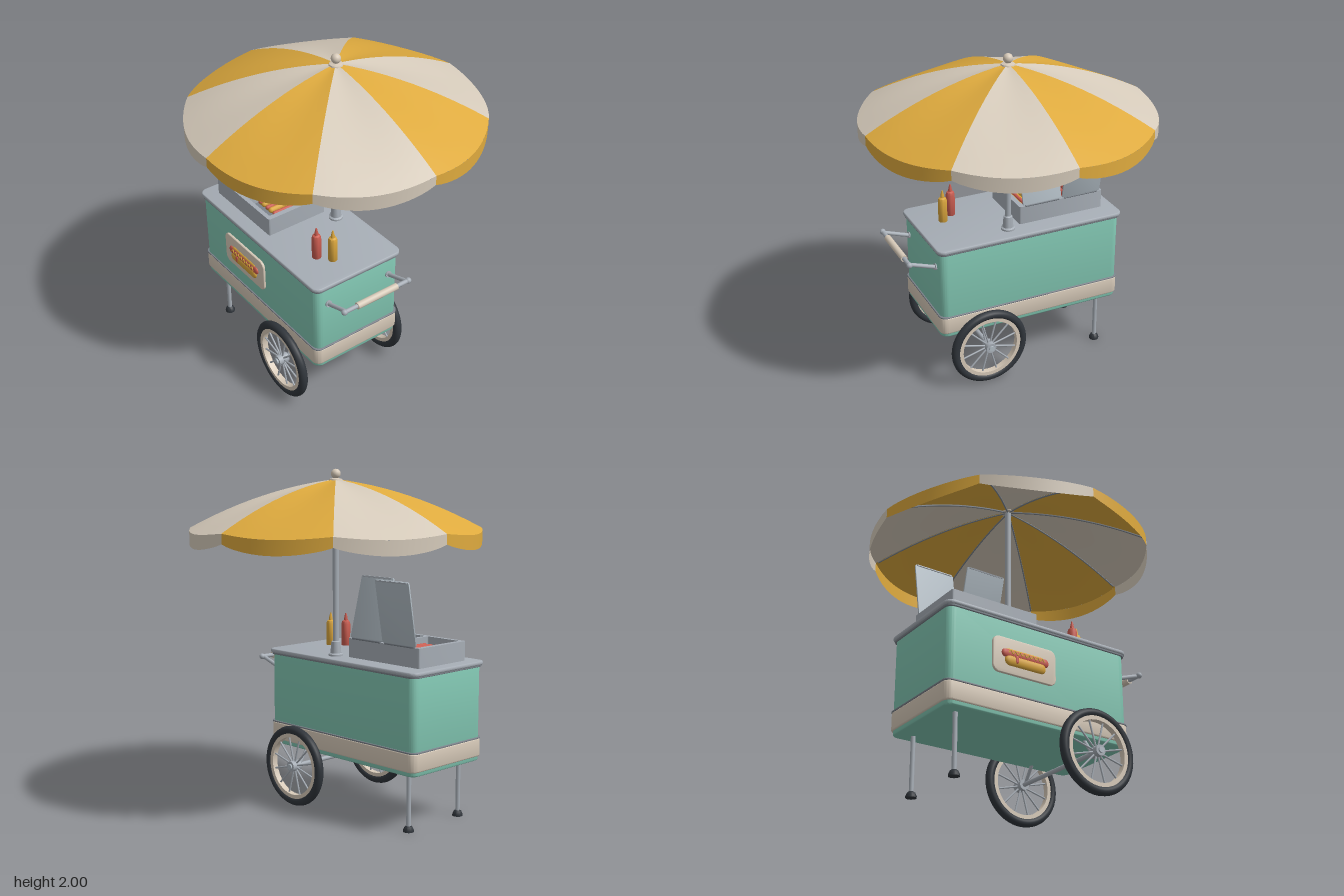
import * as THREE from 'three';
import { toCreasedNormals } from 'three/addons/utils/BufferGeometryUtils.js';
import { ParametricGeometry } from 'three/addons/geometries/ParametricGeometry.js';

const mat = (name, color, side = THREE.FrontSide) => {
  const m = new THREE.MeshStandardMaterial({ color, side });
  m.name = name;
  return m;
};

export function createModel() {
  const teal = mat('teal paint', 0x80c4b0);
  const cream = mat('cream', 0xd6c9b8);
  const steel = mat('steel', 0xa6adb5);
  const lidSteel = mat('polished steel', 0xb0bbc3);
  const trim = mat('dark trim', 0x7c838b);
  const rubber = mat('rubber', 0x30353b);
  const red = mat('red', 0xc95c50);
  const mustard = mat('mustard', 0xd9a53c);
  const clothYellow = mat('yellow cloth', 0xdeaa3e, THREE.DoubleSide);
  const clothCream = mat('cream cloth', 0xd6cbbb, THREE.DoubleSide);

  const model = new THREE.Group();
  model.name = 'foodCart';
  const V = (x, y, z) => new THREE.Vector3(x, y, z);
  const CX = -0.117, CZ = 0.196; // centre of the cart body

  const add = (name, geo, material, x = 0, y = 0, z = 0, parent = model) => {
    const m = new THREE.Mesh(geo, material);
    m.name = name;
    m.position.set(x, y, z);
    parent.add(m);
    return m;
  };
  const group = (name, x = 0, y = 0, z = 0) => {
    const g = new THREE.Group();
    g.name = name;
    g.position.set(x, y, z);
    model.add(g);
    return g;
  };
  const rod = (name, a, b, r, material, parent = model, sides = 14) => {
    const m = add(name, new THREE.CylinderGeometry(r, r, a.distanceTo(b), sides), material, 0, 0, 0, parent);
    m.position.copy(a).lerp(b, 0.5);
    m.quaternion.setFromUnitVectors(V(0, 1, 0), b.clone().sub(a).normalize());
    return m;
  };
  const lathe = (pts, seg = 24) =>
    toCreasedNormals(new THREE.LatheGeometry(pts.map(p => new THREE.Vector2(p[0], p[1])), seg), 0.6);
  const roundRect = (w, h, r, Type = THREE.Shape, cx = 0, cy = 0) => {
    const s = new Type(), x = w / 2 - r, y = h / 2 - r;
    s.absarc(cx + x, cy + y, r, 0, Math.PI / 2);
    s.absarc(cx - x, cy + y, r, Math.PI / 2, Math.PI);
    s.absarc(cx - x, cy - y, r, Math.PI, Math.PI * 1.5);
    s.absarc(cx + x, cy - y, r, Math.PI * 1.5, Math.PI * 2);
    return s;
  };
  const plate = (w, h, d, r, b) => {
    const g = new THREE.ExtrudeGeometry(roundRect(w - 2 * b, h - 2 * b, r), {
      depth: d - 2 * b, bevelEnabled: true, bevelSize: b, bevelThickness: b, bevelSegments: 3, curveSegments: 8 });
    g.translate(0, 0, b);
    return toCreasedNormals(g, 0.6);
  };
  // horizontal rounded slab from y0 to y1
  const slab = (name, w, d, y0, y1, r, b, material) =>
    add(name, plate(w, d, y1 - y0, r, b).rotateX(-Math.PI / 2), material, CX, y0, CZ);

  // Cart body
  slab('body', 1.166, 0.582, 0.34, 0.9, 0.035, 0.01, teal);
  slab('lowerBand', 1.18, 0.594, 0.365, 0.472, 0.035, 0.008, cream);
  slab('bandTrim', 1.184, 0.598, 0.47, 0.48, 0.04, 0.003, trim);
  slab('counterTrim', 1.182, 0.597, 0.888, 0.902, 0.04, 0.004, trim);
  slab('counterTop', 1.196, 0.61, 0.898, 0.922, 0.04, 0.008, steel);

  // Legs with rubber feet
  for (const z of [0.407, -0.017]) {
    rod('leg', V(-0.6, 0.02, z), V(-0.6, 0.345, z), 0.013, steel);
    add('foot', lathe([[0, 0], [0.03, 0], [0.03, 0.01], [0.022, 0.028], [0.014, 0.034], [0, 0.034]]), rubber, -0.6, 0, z);
  }

  // Axle, struts and wheels
  const WX = 0.196, WY = 0.249;
  rod('axle', V(WX, WY, -0.17), V(WX, WY, 0.56), 0.013, steel);
  for (const s of [1, -1]) {
    rod('axleStrut', V(WX, WY, CZ + s * 0.31), V(WX, 0.35, CZ + s * 0.24), 0.01, steel);
    const wheel = group('wheel', WX, WY, CZ + s * 0.35);
    add('tyre', new THREE.TorusGeometry(0.215, 0.026, 14, 56), rubber, 0, 0, 0, wheel);
    const rim = [[0.174, -0.018], [0.2, -0.018], [0.2, 0.018], [0.174, 0.018], [0.174, -0.018]];
    add('rim', lathe(rim, 48).rotateX(Math.PI / 2), cream, 0, 0, 0, wheel);
    rod('hub', V(0, 0, -0.033), V(0, 0, 0.033), 0.031, steel, wheel, 24);
    rod('hubCap', V(0, 0, 0), V(0, 0, s * 0.042), 0.017, lidSteel, wheel);
    for (let i = 0; i < 12; i++) {
      const a = (i + 0.5) * Math.PI / 6, c = Math.cos(a), t = Math.sin(a);
      rod('spoke', V(c * 0.025, t * 0.025, 0), V(c * 0.178, t * 0.178, 0), 0.0055, steel, wheel, 8);
    }
  }

  // Push handle
  for (const z of [0.407, -0.017]) {
    rod('handleArm', V(0.455, 0.782, z), V(0.63, 0.842, z), 0.012, steel);
    rod('handleMount', V(0.46, 0.786, z), V(0.476, 0.79, z), 0.02, steel);
  }
  rod('handleBar', V(0.63, 0.842, -0.025), V(0.63, 0.842, 0.417), 0.013, steel);
  rod('handleGrip', V(0.63, 0.842, 0.057), V(0.63, 0.842, 0.333), 0.02, cream, model, 20);
  for (const z of [-0.027, 0.419]) add('handleEnd', new THREE.SphereGeometry(0.018, 14, 10), steel, 0.63, 0.842, z);

  // Warming box with two compartments
  const BX = -0.36, BZ = 0.215, bays = [-0.1275, 0.1275];
  const outline = roundRect(0.55, 0.397, 0.012);
  for (const x of bays) outline.holes.push(roundRect(0.232, 0.345, 0.008, THREE.Path, x, 0));
  const boxGeo = new THREE.ExtrudeGeometry(outline, { depth: 0.113, bevelEnabled: false, curveSegments: 4 });
  add('warmingBox', toCreasedNormals(boxGeo.rotateX(-Math.PI / 2), 0.6), steel, BX, 0.921, BZ);
  add('warmingBoxFloor', new THREE.BoxGeometry(0.53, 0.04, 0.38), trim, BX, 0.945, BZ);

  // Sausages in one bay, filled buns in the other
  const capsule = (r, len) => new THREE.CapsuleGeometry(r, len - 2 * r, 6, 12).rotateX(Math.PI / 2);
  for (let i = 0; i < 5; i++)
    add('sausage', capsule(0.016, 0.25), red, BX + bays[0] + (i - 2) * 0.042, 0.99, BZ);
  for (let i = 0; i < 3; i++) {
    const x = BX + bays[1] + (i - 1) * 0.072;
    for (const s of [1, -1]) add('bunHalf', capsule(0.018, 0.22), mustard, x + s * 0.015, 0.983, BZ);
    add('bunSausage', capsule(0.012, 0.24), red, x, 0.999, BZ);
  }

  // Hinged lids: one tilted back, one tilted forward
  [[bays[0], -0.18], [bays[1], 0.255]].forEach(([x, tilt]) => {
    const lid = group('lid', BX + x, 1.036, 0.018);
    lid.rotation.x = tilt;
    add('lidPanel', plate(0.252, 0.366, 0.01, 0.01, 0.002), lidSteel, 0, 0.186, -0.005, lid);
    add('lidLip', new THREE.BoxGeometry(0.23, 0.008, 0.02), steel, 0, 0.363, 0, lid);
    const hinge = add('lidHinge', new THREE.CylinderGeometry(0.007, 0.007, 0.22, 10), trim, 0, 0, 0, lid);
    hinge.rotation.z = Math.PI / 2;
  });

  // Sauce bottles
  const bottle = [[0, 0], [0.025, 0], [0.027, 0.005], [0.027, 0.135], [0.022, 0.15], [0.012, 0.156], [0.011, 0.168], [0.004, 0.2], [0, 0.2]];
  add('redSauceBottle', lathe(bottle), red, 0.233, 0.921, 0.312);
  add('mustardBottle', lathe(bottle), mustard, 0.307, 0.921, 0.254);

  // Sign with a hot dog relief
  const sign = group('sign', -0.233, 0.685, 0.486);
  add('signPlate', plate(0.404, 0.206, 0.016, 0.035, 0.005), cream, 0, 0, 0, sign);
  const relief = (name, r, len, material, y, z) => {
    const m = add(name, new THREE.CapsuleGeometry(r, len - 2 * r, 8, 16).rotateZ(Math.PI / 2), material, 0, y, z, sign);
    m.scale.z = 0.5;
  };
  relief('signBunBack', 0.022, 0.25, mustard, 0.02, 0.015);
  relief('signSausage', 0.024, 0.3, red, 0.012, 0.018);
  relief('signBunFront', 0.03, 0.26, mustard, -0.025, 0.018);
  const wave = [];
  for (let i = 0; i <= 16; i++) wave.push(V(-0.115 + i * 0.0144, 0.019 + (i % 2 ? 0.009 : -0.009), 0.03));
  add('signMustard', new THREE.TubeGeometry(new THREE.CatmullRomCurve3(wave), 64, 0.004, 6), mustard, 0, 0, 0, sign);
  const drip = add('signSauceDrip', new THREE.CapsuleGeometry(0.011, 0.022, 6, 10), red, -0.06, -0.018, 0.03, sign);
  drip.scale.z = 0.5;

  // Umbrella pole, socket and finial
  rod('pole', V(0, 0.92, 0), V(0, 1.94, 0), 0.018, steel, model, 20);
  add('poleSocket', lathe([[0, 0], [0.042, 0], [0.042, 0.012], [0.032, 0.018], [0.026, 0.085], [0.019, 0.09]]), steel, 0, 0.92, 0);
  add('finialCollar', lathe([[0, 0], [0.042, 0], [0.038, 0.012], [0.016, 0.018], [0.016, 0.03], [0, 0.03]]), cream, 0, 1.93, 0);
  add('finialBall', new THREE.SphereGeometry(0.028, 20, 14), cream, 0, 1.972, 0);

  // Canopy: eight sagging panels, each with a scalloped valance
  const R = 0.835;
  const canopyY = (u, v) => {
    const r = R * v;
    return 1.942 - 0.12 * r - 0.25 * r * r - Math.sin(Math.PI * u) * (0.02 * v + 0.035 * v * (1 - v));
  };
  const umbrella = group('umbrella');
  for (let i = 0; i < 8; i++) {
    const cloth = i % 2 ? clothYellow : clothCream;
    const angle = u => (i + 1 - u) * Math.PI / 4;
    const panel = new ParametricGeometry((u, v, p) =>
      p.set(Math.cos(angle(u)) * R * v, canopyY(u, v), Math.sin(angle(u)) * R * v), 12, 12);
    const valance = new ParametricGeometry((u, v, p) => {
      const low = 1.612 - 0.047 * Math.pow(Math.sin(Math.PI * u), 0.8);
      p.set(Math.cos(angle(u)) * R, THREE.MathUtils.lerp(canopyY(u, 1), low, v), Math.sin(angle(u)) * R);
    }, 16, 2);
    // wind the faces so that they point outward
    for (const g of [panel, valance]) {
      const k = g.index.array, P = g.attributes.position, mid = Math.floor(k.length / 6) * 3;
      const [a, b, c] = [0, 1, 2].map(j => V().fromBufferAttribute(P, k[mid + j]));
      const n = b.clone().sub(a).cross(c.clone().sub(a));
      if (n.dot(V(a.x, 0.3, a.z)) < 0)
        for (let j = 0; j < k.length; j += 3) [k[j], k[j + 1]] = [k[j + 1], k[j]];
      g.computeVertexNormals();
    }
    add('canopyPanel', panel, cloth, 0, 0, 0, umbrella);
    add('valance', valance, cloth, 0, 0, 0, umbrella);
    // rib under each seam
    const a = i * Math.PI / 4, pts = [];
    for (let v = 0.02; v < 1; v += 0.16) pts.push(V(Math.cos(a) * R * v, canopyY(0, v) - 0.008, Math.sin(a) * R * v));
    add('rib', new THREE.TubeGeometry(new THREE.CatmullRomCurve3(pts), 12, 0.005, 6), trim, 0, 0, 0, umbrella);
  }
  return model;
}
